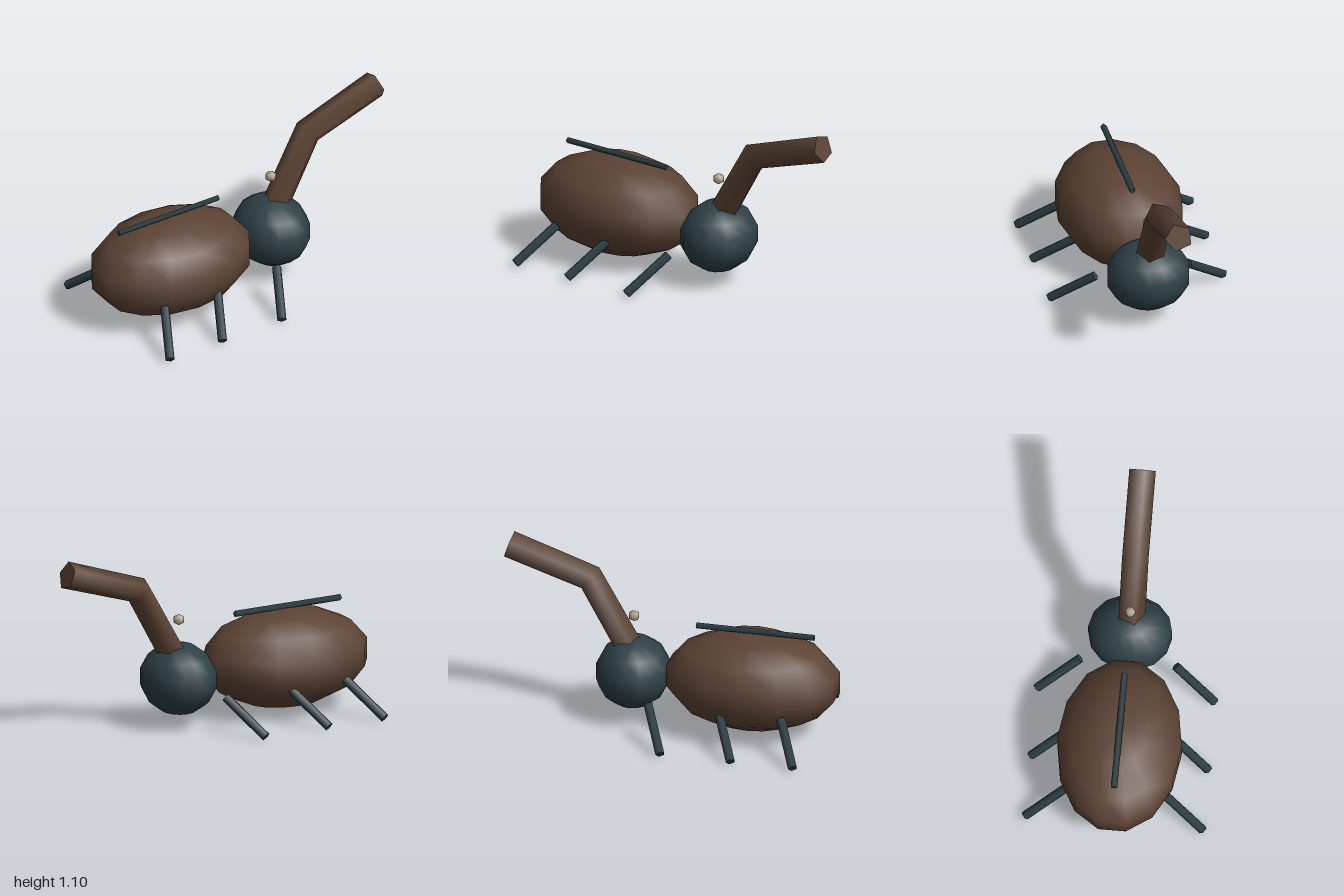
import * as THREE from 'three';

const brown = new THREE.MeshStandardMaterial({ color: 0x5c4334 });
const teal = new THREE.MeshStandardMaterial({ color: 0x2e4046 });
const cream = new THREE.MeshStandardMaterial({ color: 0xb5aa92 });
const V = (x, y, z) => new THREE.Vector3(x, y, z);

function add(parent, name, geometry, material) {
  const mesh = new THREE.Mesh(geometry, material);
  mesh.name = name;
  parent.add(mesh);
  return mesh;
}

// Straight rod between two points
function rod(parent, name, a, b, radius, sides, material) {
  const dir = b.clone().sub(a);
  const mesh = add(parent, name, new THREE.CylinderGeometry(radius, radius, dir.length(), sides), material);
  mesh.position.copy(a).add(b).multiplyScalar(0.5);
  mesh.quaternion.setFromUnitVectors(V(0, 1, 0), dir.normalize());
  return mesh;
}

// Capped five-sided tube swept along a bent path in the x = 0 plane
function bentTube(path, radius) {
  const last = path.length - 1;
  const g = new THREE.CylinderGeometry(radius, radius, last, 5, last, false, Math.PI / 2);
  const pos = g.attributes.position, nor = g.attributes.normal;
  const p = V(), n = V();
  for (let i = 0; i < pos.count; i++) {
    p.fromBufferAttribute(pos, i);
    n.fromBufferAttribute(nor, i);
    const k = Math.round(p.y + last / 2);
    const t = V();
    if (k > 0) t.add(path[k].clone().sub(path[k - 1]).normalize());
    if (k < last) t.add(path[k + 1].clone().sub(path[k]).normalize());
    t.normalize();
    const frame = new THREE.Matrix4().makeBasis(V(1, 0, 0), t, V(0, -t.z, t.y));
    p.setY(0).applyMatrix4(frame).add(path[k]);
    n.applyMatrix4(frame);
    pos.setXYZ(i, p.x, p.y, p.z);
    nor.setXYZ(i, n.x, n.y, n.z);
  }
  return g;
}

export function createModel() {
  const model = new THREE.Group();
  model.name = 'hornedBeetle';

  // Body and head
  const body = add(model, 'body', new THREE.SphereGeometry(1, 14, 7), brown);
  body.scale.set(0.367, 0.293, 0.531);
  body.scale.x = 0.375;
  body.position.set(0, 0.327, 0.495);

  const head = add(model, 'head', new THREE.SphereGeometry(1, 14, 7), teal);
  head.scale.set(0.253, 0.215, 0.224);
  head.position.set(0, 0.296, -0.225);

  // Bent horn
  add(model, 'horn', bentTube([V(0, 0.4, -0.23), V(0, 0.865, -0.49), V(0, 1.026, -0.974)], 0.085), brown);

  // Small bead above the head
  const bead = add(model, 'bead', new THREE.SphereGeometry(0.035, 6, 3), cream);
  bead.position.set(0, 0.652, -0.222);

  // Ridge along the back
  rod(model, 'backRidge', V(0, 0.632, 0.155), V(0, 0.632, 0.867), 0.019, 4, teal);

  // Three pairs of legs
  for (const side of [1, -1]) {
    ['rear', 'middle', 'front'].forEach((name, i) => {
      const z = [0, 0.425, 0.8][i];
      rod(model, `${name}${side > 0 ? 'Left' : 'Right'}Leg`,
        V(0.282 * side, 0.225, z - 0.065), V(0.524 * side, 0.027, z + 0.067), 0.028, 5, teal);
    });
  }
  return model;
}
